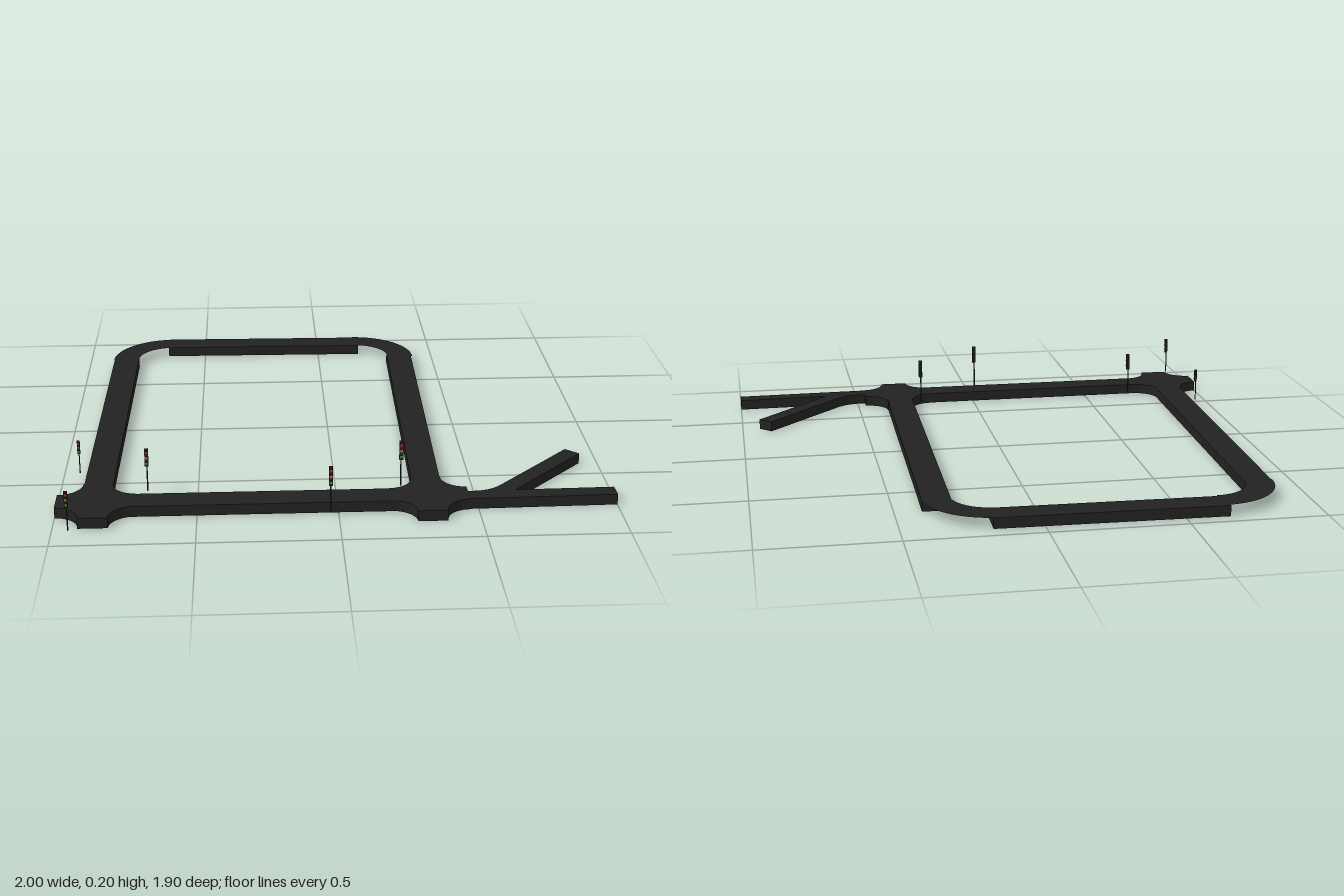
import * as THREE from 'three';

const H = 0.04;        // road slab thickness
const ROAD_W = 0.105;  // main road width
const LANE_W = 0.064;  // narrow branch width
const TILT = 0.016;    // slight skew of the loop

const mat = (color, side = THREE.FrontSide) =>
  new THREE.MeshStandardMaterial({ color, side, roughness: 0.9 });
const asphalt = mat(0x222222);
const sheetMat = mat(0x222222, THREE.DoubleSide);
const metal = mat(0x2a2a2a);
const lampMats = [mat(0xc8281e), mat(0xc87814), mat(0x1ea03c)];

function add(parent, name, geometry, material, x = 0, y = 0, z = 0) {
  const mesh = new THREE.Mesh(geometry, material);
  mesh.name = name;
  mesh.position.set(x, y, z);
  parent.add(mesh);
  return mesh;
}

// Raise a plan shape, drawn in (x, -z), into a slab standing on y = 0
function slab(shape, depth = H) {
  return new THREE.ExtrudeGeometry(shape, { depth, bevelEnabled: false, curveSegments: 10 })
    .rotateX(-Math.PI / 2);
}

// Strip of constant width along a list of [x, z] centre points
function road(points, width) {
  const p = points.map(([x, z]) => new THREE.Vector2(x, -z));
  const left = [], right = [];
  p.forEach((c, i) => {
    const d = p[Math.min(i + 1, p.length - 1)].clone().sub(p[Math.max(i - 1, 0)]).normalize();
    const n = new THREE.Vector2(-d.y, d.x).multiplyScalar(width / 2);
    left.push(c.clone().add(n));
    right.push(c.clone().sub(n));
  });
  return slab(new THREE.Shape([...right, ...left.reverse()]));
}

// Four-armed crossing with concave rounded corners
function crossing() {
  const e = 0.14, r = 0.087, w = e - r;
  const shape = new THREE.Shape();
  shape.moveTo(e, -w);
  for (let k = 0; k < 4; k++) {
    const a = k * Math.PI / 2, c = Math.cos(a), s = Math.sin(a);
    shape.lineTo(e * c - w * s, e * s + w * c);
    shape.absarc(e * c - e * s, e * s + e * c, r, a - Math.PI / 2, a - Math.PI, true);
  }
  return slab(shape);
}

// Signal of height 1: pole, housing, three lamps with hoods, facing +z
function trafficLight() {
  const g = new THREE.Group();
  g.name = 'trafficLight';
  add(g, 'pole', new THREE.CylinderGeometry(0.013, 0.016, 0.92, 10), metal, 0, 0.46, 0);
  add(g, 'housing', new THREE.BoxGeometry(0.08, 0.4, 0.045), metal, 0, 0.79, 0.045);
  for (const y of [0.62, 0.93])
    add(g, 'bracket', new THREE.BoxGeometry(0.03, 0.025, 0.06), metal, 0, y, 0.01);
  lampMats.forEach((m, i) => {
    const y = 0.92 - i * 0.125;
    add(g, 'lamp', new THREE.CylinderGeometry(0.034, 0.034, 0.014, 16).rotateX(Math.PI / 2),
      m, 0, y, 0.073);
    // hood is the upper half of an open tube
    const hood = new THREE.CylinderGeometry(0.039, 0.039, 0.05, 12, 1, true, Math.PI / 2, Math.PI)
      .rotateX(Math.PI / 2);
    add(g, 'hood', hood, sheetMat, 0, y, 0.09);
  });
  return g;
}

export function createModel() {
  const model = new THREE.Group();
  model.name = 'roadNetwork';

  // Straight sides of the loop
  add(model, 'rightRoad', road([[-0.837, -0.72], [-0.858, 0.62]], ROAD_W), asphalt);
  add(model, 'leftRoad', road([[0.348, -0.72], [0.327, 0.62]], ROAD_W), asphalt);
  add(model, 'backRoad', road([[-0.66, -0.897], [0.18, -0.883]], ROAD_W), asphalt);
  add(model, 'frontRoad', road([[-0.74, 0.732], [0.21, 0.732]], ROAD_W), asphalt);

  // Thin curved sheets at the back corners
  for (const [name, x, z, start] of [
    ['rightCurve', -0.642, -0.695, Math.PI / 2],
    ['leftCurve', 0.155, -0.688, 0],
  ]) {
    const ring = new THREE.RingGeometry(0.144, 0.25, 20, 1, start - TILT, Math.PI / 2)
      .rotateX(-Math.PI / 2);
    add(model, name, ring, sheetMat, x, H + 0.001, z);
  }

  // Crossings at the front corners
  add(model, 'rightCrossing', crossing(), asphalt, -0.86, 0, 0.73);
  add(model, 'leftCrossing', crossing(), asphalt, 0.328, 0, 0.73);

  // Fork: a straight lane and one that swings away to the back
  add(model, 'straightLane', road([[0.46, 0.748], [1, 0.738]], LANE_W), asphalt);
  const bend = new THREE.QuadraticBezierCurve(
    new THREE.Vector2(0.486, 0.747), new THREE.Vector2(0.564, 0.747), new THREE.Vector2(0.617, 0.69));
  const path = bend.getPoints(10).map((v) => [v.x, v.y]);
  add(model, 'divergingLane', road([[0.46, 0.747], ...path, [0.908, 0.382]], LANE_W), asphalt);

  // Signals: x, z, height
  for (const [x, z, h] of [
    [-0.938, 0.45, 0.133], [-0.938, 0.93, 0.153], [-0.68, 0.62, 0.17],
    [-0.03, 0.83, 0.18], [0.235, 0.62, 0.18],
  ]) {
    const light = trafficLight();
    light.position.set(x, 0.024, z);
    light.scale.setScalar(h);
    model.add(light);
  }
  return model;
}
